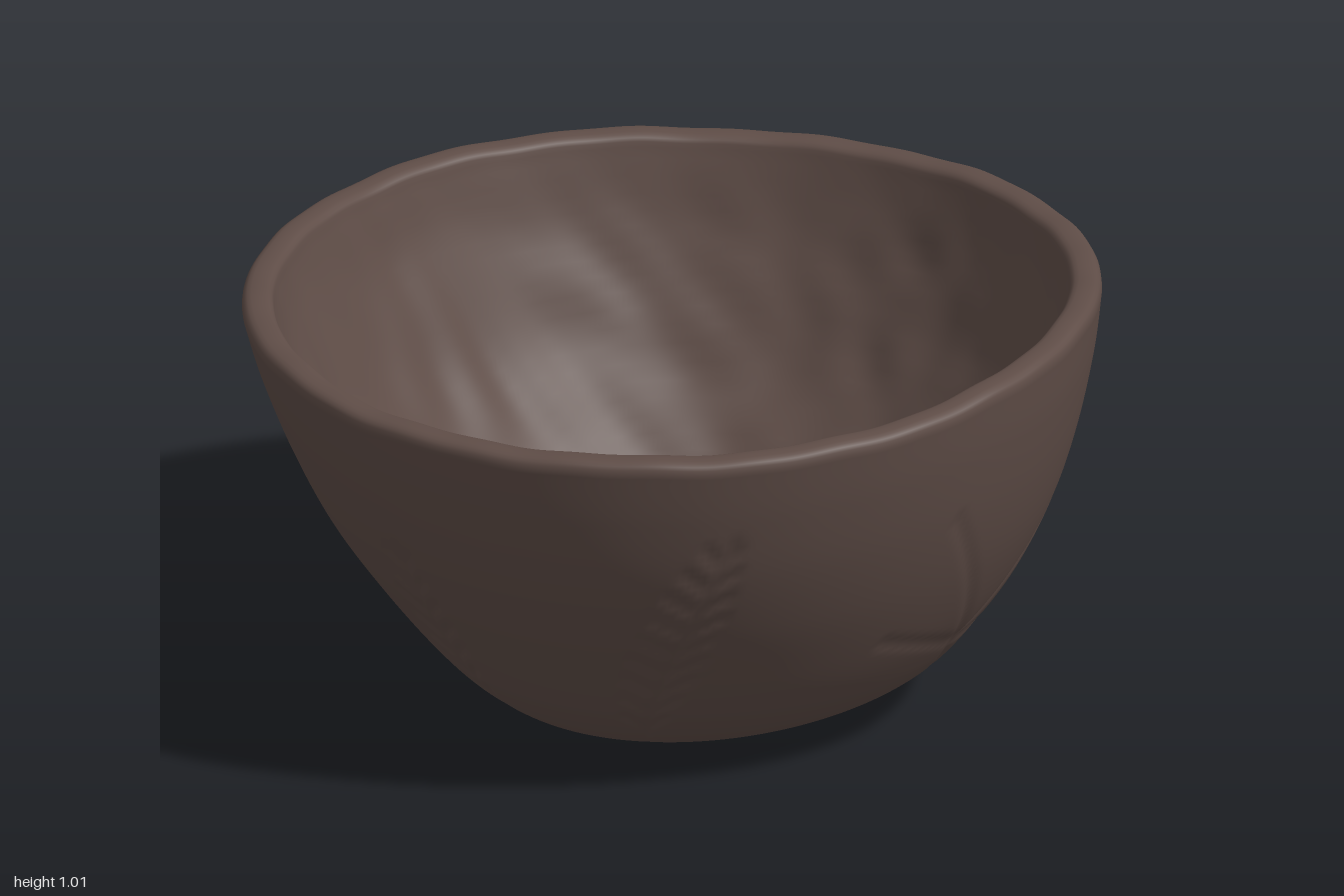
import * as THREE from 'three';

const SEGMENTS = 400, OUTER_ROWS = 84, RIM_ROWS = 10, INNER_ROWS = 36;
const RIM_HEIGHT = 0.03, FLOOR = 0.1, INNER_SCALE = 0.925;
const DEG = Math.PI / 180;

const curve = (pts) => new THREE.SplineCurve(pts.map(([r, y]) => new THREE.Vector2(r, y)));

// Outer profiles (radius, height) from base centre to rim, facing front, left, back, right
const profiles = [
  curve([[0, 0.022], [0.2, 0.02], [0.36, 0.022], [0.46, 0.045], [0.56, 0.11], [0.65, 0.2], [0.74, 0.33], [0.83, 0.47], [0.91, 0.63], [0.965, 0.79], [1.0, 0.93]]),
  curve([[0, 0.022], [0.2, 0.034], [0.4, 0.05], [0.53, 0.08], [0.64, 0.145], [0.73, 0.25], [0.81, 0.37], [0.88, 0.52], [0.93, 0.68], [0.965, 0.85], [0.98, 0.98]]),
  curve([[0, 0.022], [0.2, 0.02], [0.36, 0.02], [0.48, 0.055], [0.59, 0.135], [0.69, 0.245], [0.78, 0.375], [0.86, 0.52], [0.92, 0.66], [0.965, 0.79], [1.0, 0.93]]),
  curve([[0, 0.022], [0.18, 0.012], [0.32, 0.004], [0.4, 0.045], [0.5, 0.125], [0.6, 0.235], [0.7, 0.355], [0.8, 0.5], [0.88, 0.66], [0.945, 0.82], [0.98, 0.935]]),
];

// Blend the four profiles around the bowl
function outerPoint(t, theta, sampled) {
  const c = Math.cos(theta), s = Math.sin(theta);
  const a = sampled[c >= 0 ? 0 : 2], b = sampled[s >= 0 ? 1 : 3];
  return [a.x * c * c + b.x * s * s, a.y * c * c + b.y * s * s];
}

// Pressed plant marks: line segments of [angle in degrees, height]
const marks = [];
const line = (...pts) => {
  for (let i = 1; i < pts.length; i++) marks.push([...pts[i - 1], ...pts[i]]);
};
function fern(a0, y0, a1, y1, pairs, span) {
  line([a0, y0], [a1, y1]);
  for (let i = 1; i <= pairs; i++) {
    const t = i / (pairs + 1), a = a0 + (a1 - a0) * t, y = y0 + (y1 - y0) * t;
    const w = span * Math.sin(Math.PI * (0.15 + 0.8 * t));
    for (const side of [-1, 1]) line([a, y], [a + side * w, y + 0.05]);
  }
}
fern(6, 0.06, 22, 0.74, 9, 6);
fern(-35, 0.05, -32, 0.6, 7, 5);
fern(213, 0.08, 213, 0.86, 10, 5);
fern(176, 0.2, 180, 0.9, 9, 4);
// Branching leaf
line([82, 0.08], [75, 0.25], [51, 0.36]);
for (const [a, y] of [[58, 0.68], [66, 0.48], [96, 0.56], [102, 0.26]]) line([75, 0.25], [a, y]);
// Narrow oval leaf
for (const side of [-1, 0, 1]) {
  const pts = [];
  for (let i = 0; i <= 10; i++) {
    const t = i / 10;
    pts.push([127 - 6 * t + side * 6 * Math.sin(Math.PI * t), 0.2 + 0.6 * t]);
  }
  line(...pts);
}

function grooveDepth(theta, y, r) {
  let best = 1;
  const deg = theta / DEG;
  for (const [a0, y0, a1, y1] of marks) {
    const wrap = (a) => (((a - deg + 540) % 360) - 180) * DEG * r;
    const x0 = wrap(a0), x1 = wrap(a1);
    if (Math.min(Math.abs(x0), Math.abs(x1)) > 0.6) continue;
    const dx = x1 - x0, dy = y1 - y0;
    const t = THREE.MathUtils.clamp((-x0 * dx + (y - y0) * dy) / (dx * dx + dy * dy), 0, 1);
    best = Math.min(best, Math.hypot(x0 + dx * t, y0 + dy * t - y));
  }
  return 0.007 * Math.exp(-((best / 0.012) ** 2));
}

// Hand-shaped unevenness of the inside
const dents = (x, y, z) =>
  0.004 * Math.sin(13 * x + 4 * Math.sin(7 * z)) * Math.sin(15 * z + 3 * Math.sin(6 * x + 9 * y)) +
  0.002 * Math.sin(31 * x + 11 * y) * Math.sin(29 * z - 17 * y);

const rimWave = (a) => 0.003 * Math.sin(5 * a + 1) + 0.002 * Math.sin(13 * a) + 0.0012 * Math.sin(29 * a + 2);

function bowlGeometry() {
  const positions = [], indices = [];
  const rows = OUTER_ROWS + RIM_ROWS + INNER_ROWS;
  const rimSamples = profiles.map((p) => p.getPoint(1));
  for (let i = 0; i <= rows; i++) {
    const inner = i >= OUTER_ROWS + RIM_ROWS;
    const t = i <= OUTER_ROWS ? i / OUTER_ROWS : inner ? (rows - i) / INNER_ROWS : 1;
    const samples = profiles.map((p) => p.getPoint(t));
    for (let j = 0; j < SEGMENTS; j++) {
      const theta = (j / SEGMENTS) * Math.PI * 2;
      let [r, y] = outerPoint(t, theta, samples);
      const [rimR, rimY] = outerPoint(1, theta, rimSamples);
      if (i < OUTER_ROWS) {
        // Outside wall
        if (y > 0.03) r -= grooveDepth(theta, y, r);
      } else if (!inner) {
        // Rounded rim
        const a = ((i - OUTER_ROWS) / RIM_ROWS) * Math.PI;
        const half = rimR * (1 - INNER_SCALE) / 2;
        r = rimR - half + half * Math.sign(Math.cos(a)) * Math.abs(Math.cos(a)) ** 0.75;
        y = rimY + RIM_HEIGHT * Math.sin(a) ** 0.75;
      } else {
        // Inside wall and floor
        r *= INNER_SCALE;
        y = FLOOR + (y - 0.022) * (rimY - FLOOR) / (rimY - 0.022);
        const d = dents(r * Math.sin(theta), y, r * Math.cos(theta)) * Math.min(1, (1 - t) * 8);
        r += d * Math.min(1, r * 2);
        y -= d;
      }
      y += rimWave(theta) * THREE.MathUtils.smoothstep(y, 0.6, 0.95);
      positions.push(r * Math.sin(theta), Math.max(0, y - 0.003), r * Math.cos(theta));
      if (i < rows) {
        const k = (j + 1) % SEGMENTS, a = i * SEGMENTS, b = a + SEGMENTS;
        indices.push(a + j, a + k, b + k, a + j, b + k, b + j);
      }
    }
  }
  const geometry = new THREE.BufferGeometry();
  geometry.setAttribute('position', new THREE.Float32BufferAttribute(positions, 3));
  geometry.setIndex(indices);
  geometry.computeVertexNormals();
  return geometry;
}

export function createModel() {
  const clay = new THREE.MeshStandardMaterial({ color: 0x5f4d47 });
  clay.name = 'dark brown clay';
  const bowl = new THREE.Mesh(bowlGeometry(), clay);
  bowl.name = 'bowl';
  const group = new THREE.Group();
  group.name = 'clayBowl';
  group.add(bowl);
  return group;
}
